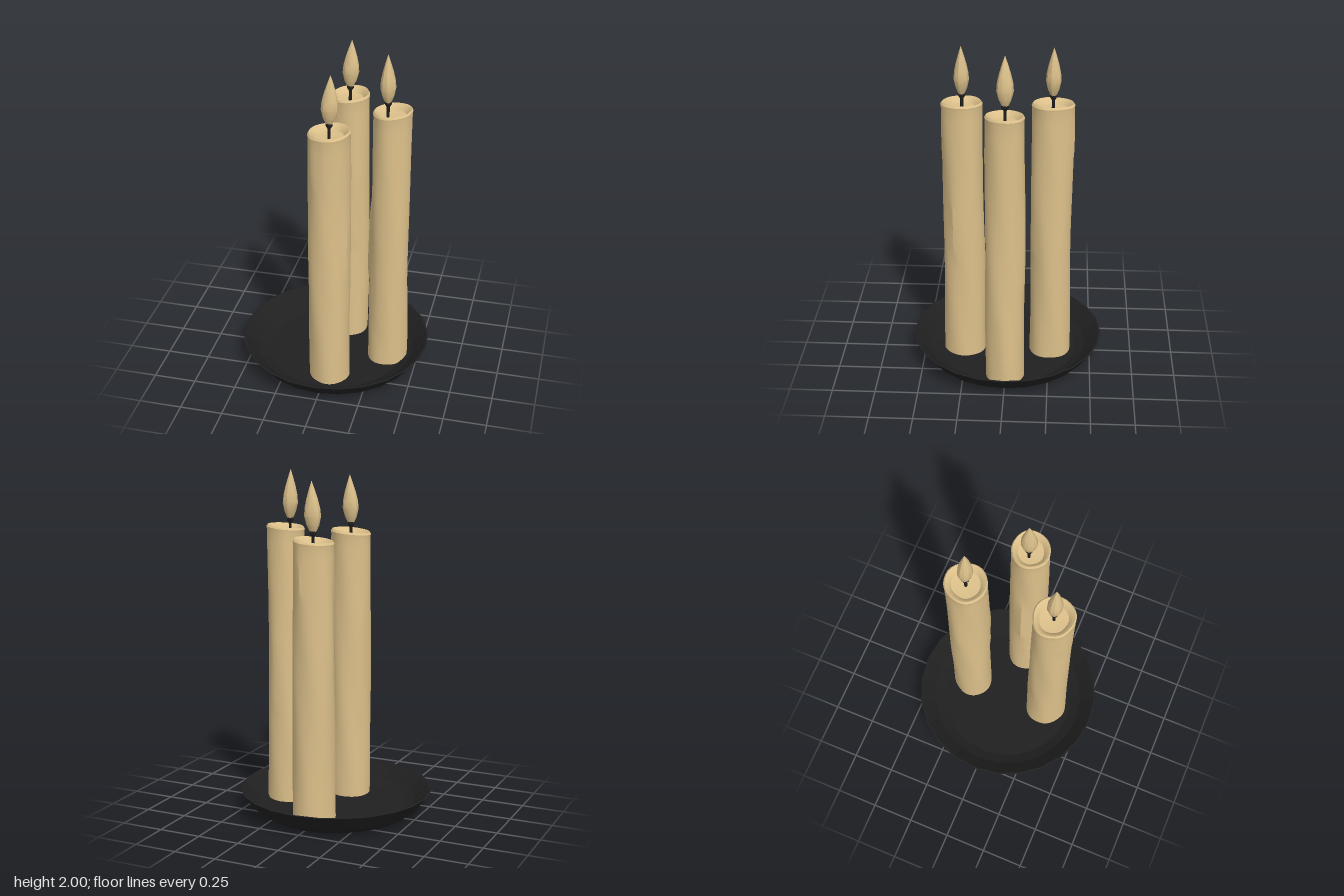
import * as THREE from 'three';
import { mergeVertices, toCreasedNormals } from 'three/addons/utils/BufferGeometryUtils.js';

const wax = new THREE.MeshStandardMaterial({ color: 0xdcc08a });
wax.name = 'wax';
const iron = new THREE.MeshStandardMaterial({ color: 0x202021 });
iron.name = 'black iron';

// Lathe whose vertices are moved by a rule, welded and given creased normals
function lathe(points, sides, move, crease) {
  let g = new THREE.LatheGeometry(points.map(p => new THREE.Vector2(p[0], p[1])), sides);
  g.deleteAttribute('normal');
  g.deleteAttribute('uv');
  const pos = g.attributes.position;
  const v = new THREE.Vector3();
  for (let i = 0; i < pos.count; i++) {
    v.fromBufferAttribute(pos, i);
    if (move) move(v);
    pos.setXYZ(i, v.x, v.y, v.z);
  }
  g = mergeVertices(g, 1e-4);
  return toCreasedNormals(g, crease);
}

function add(group, geometry, material, name) {
  const mesh = new THREE.Mesh(geometry, material);
  mesh.name = name;
  group.add(mesh);
  return mesh;
}

// Shallow faceted dish with a sloping rim
function makeDish() {
  const profile = [
    [0, 0], [0.425, 0], [0.495, 0.045], [0.565, 0.135],
    [0.555, 0.137], [0.47, 0.06], [0.41, 0.03], [0, 0.025],
  ];
  return lathe(profile, 24, null, 0.15);
}

// Uneven wax column with a hollow top, a tilted rim and runs of dripped wax
function makeColumn({ height, radius, topRadius, seed, drips }) {
  const profile = [[0, 0.012]];
  const rings = 26;
  const bodyTop = height - 0.03;
  for (let i = 0; i <= rings; i++) {
    const t = i / rings;
    profile.push([THREE.MathUtils.lerp(radius, topRadius, t), 0.012 + t * (bodyTop - 0.012)]);
  }
  profile.push([topRadius * 1.02, height - 0.012], [topRadius * 0.95, height],
    [topRadius * 0.84, height - 0.008], [topRadius * 0.68, height - 0.035], [0, height - 0.045]);

  return lathe(profile, 28, v => {
    const r = Math.hypot(v.x, v.z);
    if (r < 1e-5) return;
    const a = Math.atan2(v.x, v.z);
    let k = 1 + 0.022 * Math.sin(2 * a + 3.1 * v.y + seed)
      + 0.016 * Math.sin(3 * a - 4.3 * v.y + 2 * seed)
      + 0.012 * Math.sin(5 * a + 7 * v.y + seed);
    for (const [angle, top, bottom, size] of drips) {
      const d = Math.atan2(Math.sin(a - angle), Math.cos(a - angle));
      const along = THREE.MathUtils.smoothstep(v.y, bottom - 0.03, bottom + 0.05)
        * (1 - THREE.MathUtils.smoothstep(v.y, top - 0.1, top + 0.1));
      k += size * along * Math.exp(-d * d / 0.035);
    }
    v.x *= k;
    v.z *= k;
    if (v.y > height - 0.06) v.y += 0.09 * v.x;
  }, 0.6);
}

// Teardrop flame, base at y = 0 and tip at y = 0.29
function makeFlame(widthX, widthZ, lean) {
  const profile = [
    [0, 0], [0.4, 0.01], [0.75, 0.045], [1, 0.095], [0.92, 0.14],
    [0.68, 0.19], [0.36, 0.24], [0, 0.29],
  ];
  return lathe(profile, 10, v => {
    v.x = v.x * widthX + lean * v.y;
    v.z *= widthZ;
  }, 0.6);
}

// Wick flaring slightly where it meets the flame
function makeWick() {
  return lathe([[0, 0], [0.009, 0], [0.009, 0.075], [0.021, 0.095], [0.018, 0.115], [0, 0.12]], 8, null, 0.6);
}

export function createModel() {
  const model = new THREE.Group();
  model.name = 'candleDish';
  add(model, makeDish(), iron, 'dish');

  const candles = [
    {
      name: 'frontCandle', x: 0.022, z: 0.255, height: 1.635, radius: 0.122, topRadius: 0.116, seed: 0.6,
      flame: [0, 0.048, 0.043, 0.03],
      drips: [[-0.75, 1.6, 1.32, 0.05], [0, 1.6, 1.3, 0.04], [1.1, 1.1, 0.7, 0.06], [-2.2, 1.2, 0.5, 0.05]],
    },
    {
      name: 'backCandle', x: 0.022, z: -0.255, height: 1.635, radius: 0.122, topRadius: 0.116, seed: 2.7,
      flame: [0, 0.048, 0.043, 0.03],
      drips: [[2.9, 1.6, 1.3, 0.05], [0.4, 1.2, 0.7, 0.06], [-1.8, 1.5, 0.9, 0.04]],
    },
    {
      name: 'sideCandle', x: 0.32, z: 0, height: 1.675, radius: 0.116, topRadius: 0.107, seed: 4.4,
      flame: [-0.027, 0.044, 0.047, -0.02],
      drips: [[-1.57, 1.1, 0.6, 0.11], [1.57, 0.5, 0.05, 0.04], [-0.5, 0.65, 0.3, 0.05], [2.8, 1.1, 0.6, 0.06]],
    },
  ];

  for (const c of candles) {
    const group = new THREE.Group();
    group.name = c.name;
    group.position.set(c.x, 0, c.z);
    model.add(group);
    add(group, makeColumn(c), wax, 'waxColumn');
    const [offset, widthX, widthZ, lean] = c.flame;
    const wick = add(group, makeWick(), iron, 'wick');
    wick.position.set(offset, c.height - 0.06, 0);
    const flame = add(group, makeFlame(widthX, widthZ, lean), wax, 'flame');
    flame.position.set(offset, c.height + 0.035, 0);
  }
  return model;
}
